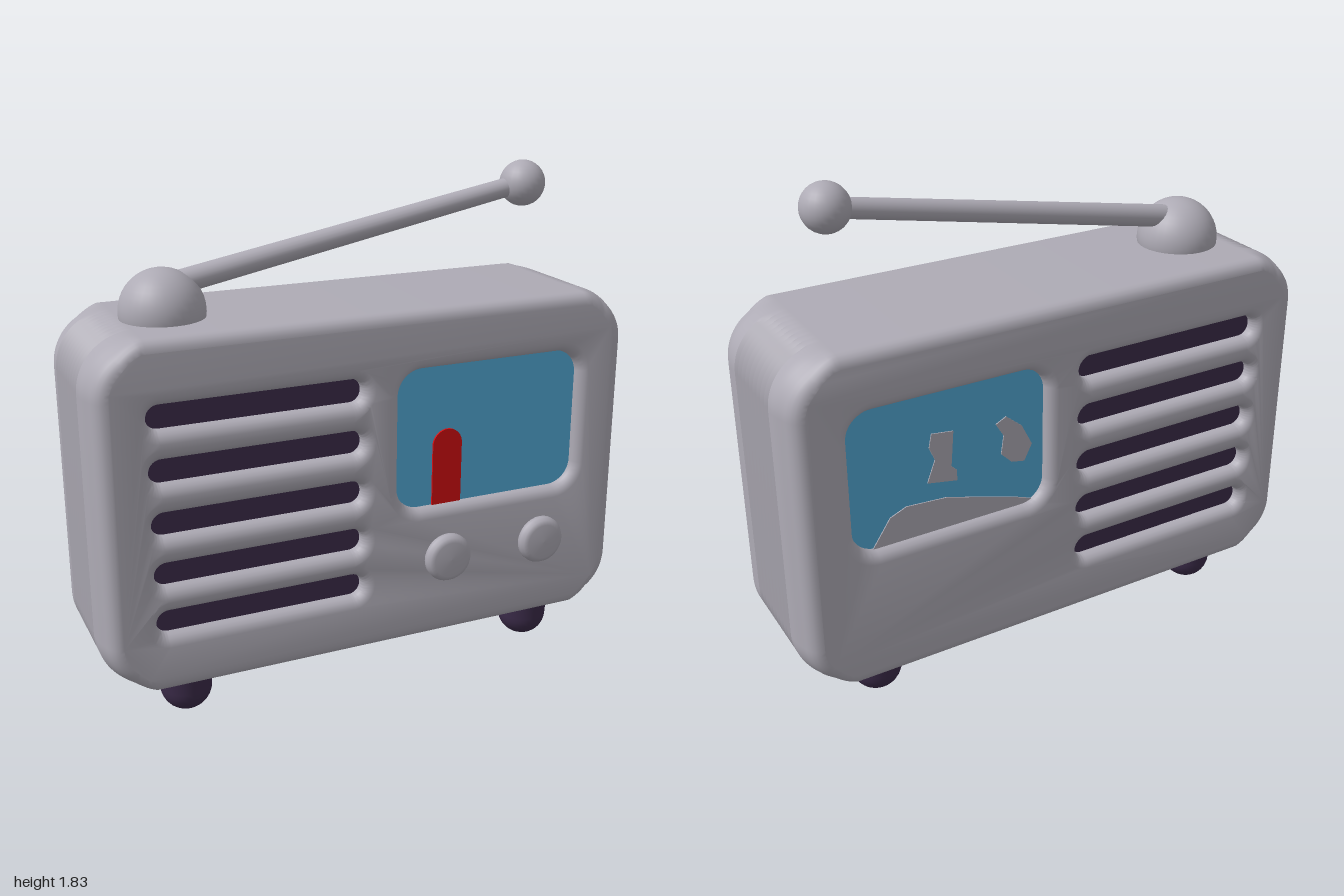
import * as THREE from 'three';
import { toCreasedNormals } from 'three/addons/utils/BufferGeometryUtils.js';

const mat = (name, color) => Object.assign(new THREE.MeshStandardMaterial({ color }), { name });

// Rounded rectangle outline between two corners
function roundRect(x0, y0, x1, y1, r) {
  const s = new THREE.Shape();
  s.moveTo(x0 + r, y0);
  s.lineTo(x1 - r, y0).absarc(x1 - r, y0 + r, r, -Math.PI / 2, 0);
  s.lineTo(x1, y1 - r).absarc(x1 - r, y1 - r, r, 0, Math.PI / 2);
  s.lineTo(x0 + r, y1).absarc(x0 + r, y1 - r, r, Math.PI / 2, Math.PI);
  s.lineTo(x0, y0 + r).absarc(x0 + r, y0 + r, r, Math.PI, Math.PI * 1.5);
  return s;
}

// Lathe from [radius, height] pairs
const lathe = (pts) => new THREE.LatheGeometry(pts.map(([x, y]) => new THREE.Vector2(x, y)), 32);

export function createModel() {
  const group = new THREE.Group();
  const grey = mat('casing grey', 0xaeabb5);
  const dark = mat('dark purple', 0x3b2b49);
  const blue = mat('dial blue', 0x52a9d6);
  const red = mat('needle red', 0xd20d10);

  const add = (name, geometry, material, x = 0, y = 0, z = 0) => {
    const mesh = new THREE.Mesh(geometry, material);
    mesh.name = name;
    mesh.position.set(x, y, z);
    group.add(mesh);
    return mesh;
  };
  const plate = (name, shape, depth, material, z) =>
    add(name, new THREE.ExtrudeGeometry(shape, { depth, bevelEnabled: false, curveSegments: 12 }), material, 0, 0, z);

  // Casing with grille slots and dial window cut right through
  const bottom = 0.155, top = 1.39, back = -0.325, bevel = 0.04, depth = 0.53, steps = 62, radius = 0.19;
  const outline = roundRect(-1, bottom, 1, top, radius);
  for (const y of [1.13, 0.945, 0.76, 0.58, 0.405]) {
    outline.holes.push(roundRect(-0.813, y - 0.043, -0.06, y + 0.043, 0.042));
  }
  outline.holes.push(roundRect(0.075, 0.66, 0.8, 1.18, 0.09));
  const casing = new THREE.ExtrudeGeometry(outline, {
    depth, steps, curveSegments: 10, bevelThickness: bevel, bevelSize: bevel, bevelOffset: -bevel, bevelSegments: 4,
  });
  casing.translate(0, 0, back + bevel);

  // Groove both ends and pull their front and back edges in
  const pitch = (depth * 4) / steps;
  const grooveStart = back + bevel + pitch * 3, grooveEnd = grooveStart + pitch * 9;
  const pos = casing.attributes.position;
  for (let i = 0; i < pos.count; i++) {
    const x = pos.getX(i), y = pos.getY(i), z = pos.getZ(i);
    const weight = THREE.MathUtils.clamp((Math.abs(x) - 0.825) / 0.08, 0, 1);
    if (weight === 0) continue;
    const dir = new THREE.Vector2(
      x - Math.sign(x) * (1 - radius),
      y - THREE.MathUtils.clamp(y, bottom + radius, top - radius),
    ).normalize();
    let inset = 0.025 * THREE.MathUtils.smoothstep(Math.abs(z + 0.02), 0.19, 0.305);
    if (z > grooveStart && z < grooveEnd) {
      inset += 0.007 * (1 - Math.cos((2 * Math.PI * (z - grooveStart)) / pitch));
    }
    pos.setXY(i, x - dir.x * inset * weight, y - dir.y * inset * weight);
  }
  add('casing', toCreasedNormals(casing, 0.65), grey);

  // Dark core behind the slots, blue dial behind the window
  add('grilleCore', new THREE.BoxGeometry(0.8, 0.86, 0.51), dark, -0.435, 0.768, -0.02);
  add('dial', new THREE.BoxGeometry(0.76, 0.56, 0.53), blue, 0.4375, 0.92, -0.02);

  // Dial needle with a rounded top
  const needle = new THREE.Shape();
  needle.moveTo(0.22, 0.66);
  needle.lineTo(0.335, 0.66);
  needle.lineTo(0.335, 0.89);
  needle.absarc(0.2775, 0.885, 0.0575, 0, Math.PI);
  needle.lineTo(0.22, 0.66);
  plate('needle', needle, 0.008, red, 0.244);

  // Grey patches on the rear dial
  const patches = [
    [[0.73, 0.655], [0.66, 0.76], [0.6, 0.785], [0.45, 0.775], [0.2, 0.7], [0.08, 0.655]],
    [[0.41, 0.83], [0.41, 0.87], [0.43, 0.89], [0.42, 1.02], [0.5, 1.03], [0.51, 0.98], [0.49, 0.93], [0.52, 0.85]],
    [[0.15, 0.83], [0.12, 0.89], [0.16, 0.97], [0.22, 1.02], [0.26, 1.0], [0.23, 0.95], [0.24, 0.88], [0.2, 0.84]],
  ];
  for (const pts of patches) {
    plate('rearPatch', new THREE.Shape(pts.map(([x, y]) => new THREE.Vector2(x, y))), 0.006, grey, -0.289);
  }

  // Two tuning knobs
  const knob = lathe([[0.078, 0], [0.09, 0.015], [0.09, 0.03], [0.082, 0.045], [0.066, 0.053], [0, 0.055]]);
  knob.rotateX(Math.PI / 2);
  for (const x of [0.265, 0.655]) add('knob', knob, grey, x, 0.467, 0.276);

  // Four round-bottomed feet
  const footProfile = [];
  for (let i = 0; i <= 8; i++) {
    const a = (i / 8) * Math.PI / 2;
    footProfile.push([0.092 * Math.sin(a), 0.09 * (1 - Math.cos(a))]);
  }
  const foot = lathe([...footProfile, [0.097, 0.18]]);
  for (const x of [-0.69, 0.69]) {
    for (const z of [0.14, -0.16]) add('foot', foot, dark, x, 0, z);
  }

  // Aerial: dome, tapered rod and end ball
  add('aerialDome', new THREE.SphereGeometry(0.147, 32, 20), grey, -0.67, 1.408, -0.005);
  const start = new THREE.Vector3(-0.64, 1.493, -0.01), end = new THREE.Vector3(0.7, 1.75, -0.01);
  const along = end.clone().sub(start);
  const rod = add('aerialRod', new THREE.CylinderGeometry(0.034, 0.041, along.length(), 20), grey);
  rod.position.copy(start).lerp(end, 0.5);
  rod.quaternion.setFromUnitVectors(new THREE.Vector3(0, 1, 0), along.normalize());
  add('aerialBall', new THREE.SphereGeometry(0.083, 24, 16), grey, end.x, end.y, end.z);

  return group;
}
